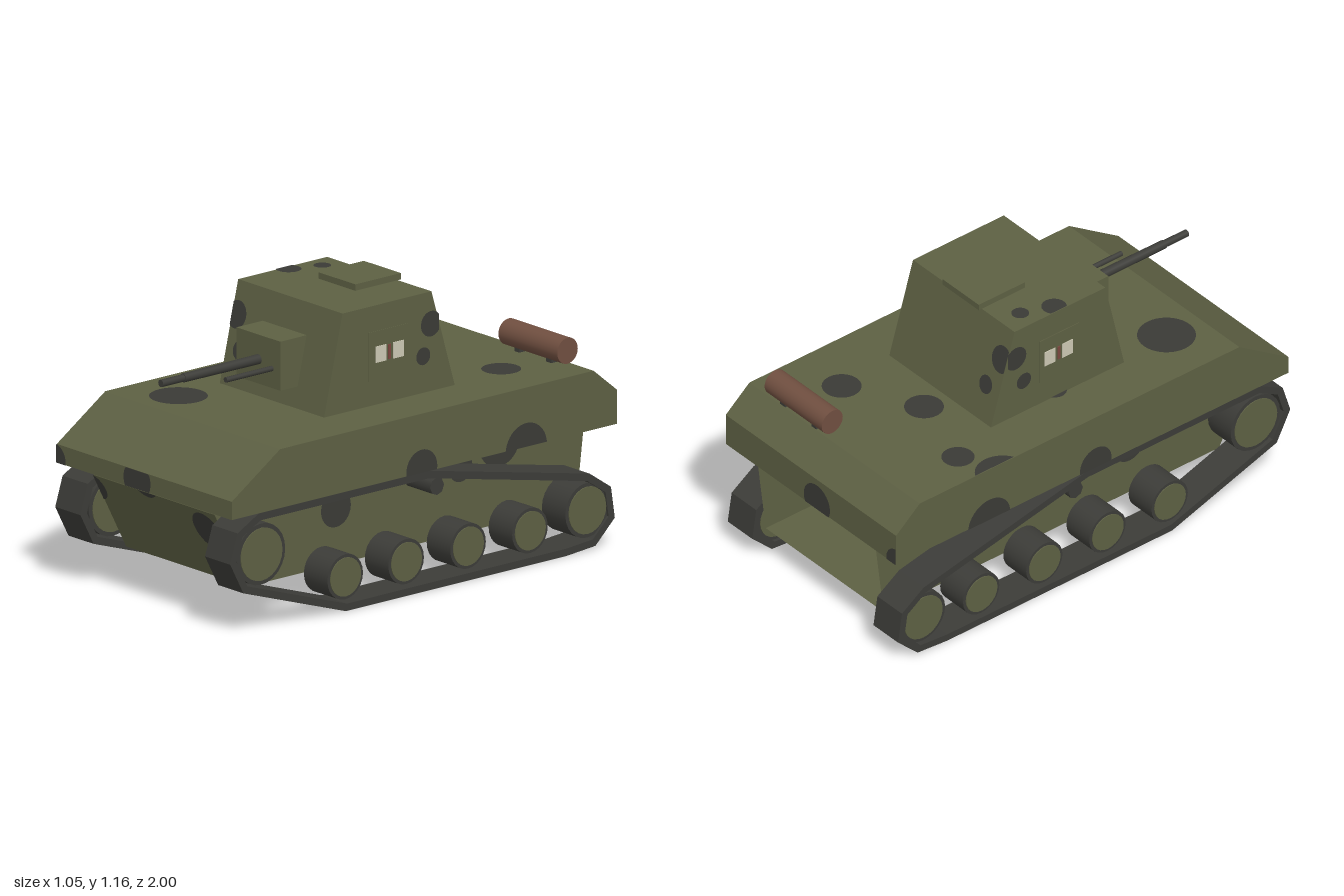
import * as THREE from 'three';

const mat = (name, color, side = THREE.FrontSide) => {
  const m = new THREE.MeshStandardMaterial({ color, side });
  m.name = name;
  return m;
};

export function createModel() {
  const root = new THREE.Group();
  root.name = 'tank';
  const olive = mat('olive paint', 0x5d6043);
  const olivePlate = mat('olive plate', 0x5d6043, THREE.DoubleSide);
  const camo = mat('camouflage grey', 0x3a3a36);
  const steel = mat('dark steel', 0x3c3c38);
  const rust = mat('rusty brown', 0x704f40);
  const cream = mat('cream marking', 0xccc8b4);
  const red = mat('dull red marking', 0x7c463e);

  const add = (name, geo, material, x = 0, y = 0, z = 0) => {
    const m = new THREE.Mesh(geo, material);
    m.name = name;
    m.position.set(x, y, z);
    root.add(m);
    return m;
  };

  // Side profile in (z, y), extruded across x and centred
  const prism = (points, width, hole) => {
    const toV = (p) => new THREE.Vector2(p[0], p[1]);
    const shape = new THREE.Shape(points.map(toV));
    if (hole) shape.holes.push(new THREE.Path(hole.map(toV)));
    const g = new THREE.ExtrudeGeometry(shape, { depth: width, bevelEnabled: false });
    return g.translate(0, 0, -width / 2).rotateY(-Math.PI / 2);
  };
  const alongX = (r, len, n = 24) => new THREE.CylinderGeometry(r, r, len, n).rotateZ(Math.PI / 2);
  const alongZ = (r0, r1, len, n = 16) => new THREE.CylinderGeometry(r1, r0, len, n).rotateX(Math.PI / 2);

  // Upper hull
  add('upperHull', prism([[0.99, 0.49], [0.99, 0.565], [0.74, 0.73], [-0.88, 0.73], [-1, 0.63], [-1, 0.49]], 1.04), olive);

  // Lower hull: open tub made of two walls, floor and nose plate
  const W = 0.36, side = [[0.94, 0.465], [0.77, 0.14], [-0.93, 0.14], [-0.97, 0.465]];
  const corner = (s, i) => [s * W, side[i][1], side[i][0]];
  const quad = (name, a, b, c, d) => {
    const g = new THREE.BufferGeometry();
    g.setAttribute('position', new THREE.Float32BufferAttribute([...a, ...b, ...c, ...a, ...c, ...d], 3));
    g.computeVertexNormals();
    add(name, g, olivePlate);
  };
  quad('lowerHullLeftWall', corner(1, 0), corner(1, 1), corner(1, 2), corner(1, 3));
  quad('lowerHullRightWall', corner(-1, 3), corner(-1, 2), corner(-1, 1), corner(-1, 0));
  quad('lowerHullNose', corner(-1, 0), corner(-1, 1), corner(1, 1), corner(1, 0));
  quad('lowerHullFloor', corner(-1, 1), corner(-1, 2), corner(1, 2), corner(1, 1));

  // Turret, hatch, mantlet and guns
  add('turret', prism([[0.33, 0.73], [0.235, 1.135], [-0.225, 1.135], [-0.345, 0.73]], 0.62), olive);
  add('hatch', new THREE.BoxGeometry(0.22, 0.026, 0.235), olive, 0, 1.148, -0.123);
  add('mantlet', new THREE.BoxGeometry(0.26, 0.2, 0.15), olive, 0, 0.912, 0.325);
  add('gunSleeve', alongZ(0.02, 0.018, 0.4), steel, 0, 0.912, 0.59);
  add('gunBarrel', alongZ(0.015, 0.015, 0.12), steel, 0, 0.912, 0.845);
  add('machineGun', alongZ(0.011, 0.011, 0.25, 12), steel, 0.08, 0.892, 0.515);

  // Exhaust
  add('exhaust', alongX(0.053, 0.35), rust, 0.225, 0.79, -0.85);
  for (const x of [0.13, 0.32]) add('exhaustBracket', new THREE.BoxGeometry(0.03, 0.04, 0.055), steel, x, 0.735, -0.85);

  // Turret side markings
  for (const s of [1, -1]) {
    add('markingPanel', new THREE.BoxGeometry(0.004, 0.2, 0.2), olive, s * 0.311, 0.93, 0);
    for (const z of [0.04, -0.05]) add('creamMarking', new THREE.BoxGeometry(0.004, 0.066, 0.054), cream, s * 0.314, 0.935, z);
    add('redMarking', new THREE.BoxGeometry(0.004, 0.06, 0.014), red, s * 0.314, 0.935, -0.004);
  }

  // Track loops: inner edge is the outer one moved in by the thickness
  const outer = [[0.85, 0.49], [0.96, 0.43], [0.998, 0.31], [0.93, 0.18], [0.4, 0.003], [-0.74, 0.003],
    [-0.89, 0.015], [-0.99, 0.11], [-0.97, 0.24], [-0.86, 0.315], [-0.03, 0.49]].reverse();
  const inset = (pts, t) => pts.map((p, i) => {
    const a = pts[(i + pts.length - 1) % pts.length], b = pts[(i + 1) % pts.length];
    const n = (q, r) => new THREE.Vector2(-(r[1] - q[1]), r[0] - q[0]).normalize();
    const n1 = n(a, p), n2 = n(p, b), m = n1.clone().add(n2).normalize();
    return [p[0] + m.x * t / m.dot(n1), p[1] + m.y * t / m.dot(n1)];
  });
  const inner = inset(outer, 0.03);

  // Running gear: [z, y, radius]
  const wheels = [[0.83, 0.318, 0.125], [-0.855, 0.165, 0.112],
    ...[0.395, 0.08, -0.24, -0.56].map((z) => [z, 0.14, 0.092])];
  for (const s of [1, -1]) {
    add('track', prism(outer, 0.15, inner), steel, s * 0.445);
    for (const [z, y, r] of wheels) {
      add('tyre', alongX(r, 0.14), steel, s * 0.44, y, z);
      add('wheelDisc', alongX(r * 0.86, 0.148), olive, s * 0.44, y, z);
    }
    add('returnRoller', alongX(0.036, 0.15, 8), steel, s * 0.435, 0.415, -0.08);
  }

  // Camouflage spots: [u, v, radius], repeated on every panel facing that way
  const fromTop = [[-0.57, -0.5, 0.11], [-0.38, -0.57, 0.065], [-0.04, -0.46, 0.078], [0.27, -0.62, 0.078],
    [-0.28, 0.57, 0.115], [-0.28, 0, 0.05], [-0.23, -0.13, 0.035]];
  const fromSide = [[0.01, 0.505, 0.08], [-0.53, 0.48, 0.107], [0.315, 0.37, 0.077], [-0.33, 0.41, 0.06],
    [-0.22, 1.005, 0.052], [-0.18, 0.88, 0.036]];
  const fromFront = [[-0.28, 1.005, 0.055], [-0.23, 0.875, 0.037], [-0.04, 0.525, 0.08], [-0.53, 0.5, 0.066],
    [0.27, 0.37, 0.082], [-0.37, 0.41, 0.055]];
  // place(u, v) gives the point on the panel; dir is the outward side
  const paint = (spots, [u0, u1, v0, v1], place, dir) => {
    for (const [u, v, r] of spots) {
      if (u + r <= u0 || u - r >= u1 || v + r <= v0 || v - r >= v1) continue;
      const g = new THREE.CircleGeometry(r, 40), p = g.attributes.position;
      for (let i = 0; i < p.count; i++) {
        const q = place(THREE.MathUtils.clamp(p.getX(i) + u, u0, u1), THREE.MathUtils.clamp(p.getY(i) + v, v0, v1));
        p.setXYZ(i, q[0] + dir[0] * 0.003, q[1] + dir[1] * 0.003, q[2] + dir[2] * 0.003);
      }
      // Turn the corners round where the panel faces the other way
      const o = place(0, 0), du = place(1, 0), dv = place(0, 1);
      const vec = (q) => new THREE.Vector3(q[0] - o[0], q[1] - o[1], q[2] - o[2]);
      if (vec(du).cross(vec(dv)).dot(new THREE.Vector3(...dir)) < 0) g.index.array.reverse();
      g.computeVertexNormals();
      add('camouflageSpot', g, camo);
    }
  };
  const level = (y) => (u, v) => [u, y, v];
  paint(fromTop, [-0.52, 0.52, -0.88, 0.74], level(0.73), [0, 1, 0]);
  paint(fromTop, [-0.52, 0.52, -1, 0.99], level(0.49), [0, -1, 0]);
  paint(fromTop, [-0.31, 0.31, -0.225, 0.235], level(1.135), [0, 1, 0]);
  for (const s of [1, -1]) {
    paint(fromTop, [-W, W, -0.93, 0.77], level(0.14), [0, s, 0]);
    const wall = (x) => (u, v) => [s * x, v, u];
    paint(fromSide, [-1, 0.74, 0.49, 0.63], wall(0.52), [s, 0, 0]);
    paint(fromSide, [-0.94, 0.77, 0.14, 0.465], wall(W), [s, 0, 0]);
    paint(fromSide, [-0.262, 0.25, 0.73, 1.135], wall(0.31), [s, 0, 0]);
  }
  // Front and rear panels lean along z with height
  const lean = (y0, z0, y1, z1) => (u, v) => [u, v, z0 + (z1 - z0) * (v - y0) / (y1 - y0)];
  paint(fromFront, [-0.52, 0.52, 0.49, 0.565], lean(0, 0.99, 1, 0.99), [0, 0, 1]);
  paint(fromFront, [-0.52, 0.52, 0.49, 0.63], lean(0, -1, 1, -1), [0, 0, -1]);
  paint(fromFront, [-W, W, 0.14, 0.465], lean(0.14, 0.77, 0.465, 0.94), [0, 0, 1]);
  paint(fromFront, [-0.31, 0.31, 0.73, 1.135], lean(0.73, 0.33, 1.135, 0.235), [0, 0, 1]);
  paint(fromFront, [-0.31, 0.31, 0.73, 1.135], lean(0.73, -0.345, 1.135, -0.225), [0, 0, -1]);

  return root;
}
